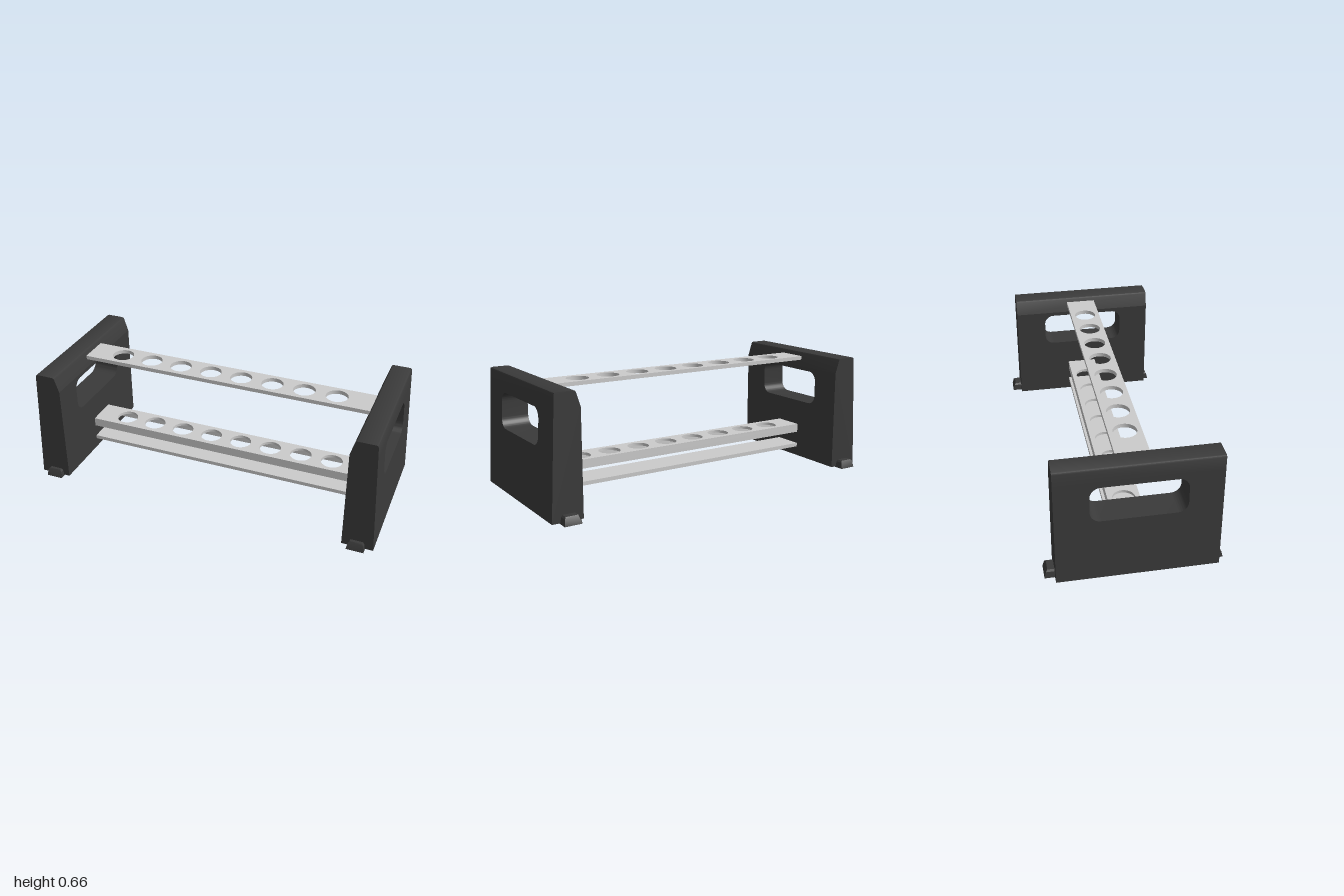
import * as THREE from 'three';
import { toCreasedNormals } from 'three/addons/utils/BufferGeometryUtils.js';

const dark = new THREE.MeshStandardMaterial({ color: 0x3a3a3a });
const grey = new THREE.MeshStandardMaterial({ color: 0xcccccc });

const Z_MIN = -0.41, Z_MAX = 0.43;   // depth of the end panels
const BASE = 0.004, SHOULDER = 0.575, TOP = 0.66;
const INNER = 0.827;
const outerX = (y) => 1 - 0.05 * y;  // leaning outer face

function polygon(points) {
  return new THREE.Shape(points.map(([x, y]) => new THREE.Vector2(x, y)));
}

function extrude(shape, depth, curveSegments = 16) {
  return new THREE.ExtrudeGeometry(shape, { depth, bevelEnabled: false, curveSegments });
}

function moveVertices(geometry, rule) {
  const p = geometry.attributes.position;
  const v = new THREE.Vector3();
  for (let i = 0; i < p.count; i++) {
    v.fromBufferAttribute(p, i);
    rule(v);
    p.setXYZ(i, v.x, v.y, v.z);
  }
  return geometry;
}

function addMesh(parent, name, geometry, material) {
  const mesh = new THREE.Mesh(toCreasedNormals(geometry, 0.5), material);
  mesh.name = name;
  parent.add(mesh);
  return mesh;
}

function roundedHole(x0, y0, x1, y1, r) {
  const h = new THREE.Path();
  h.absarc(x1 - r, y1 - r, r, 0, Math.PI / 2);
  h.absarc(x0 + r, y1 - r, r, Math.PI / 2, Math.PI);
  h.absarc(x0 + r, y0 + r, r, Math.PI, Math.PI * 1.5);
  h.absarc(x1 - r, y0 + r, r, Math.PI * 1.5, Math.PI * 2);
  h.closePath();
  return h;
}

function createEnd() {
  const end = new THREE.Group();

  // Panel with handle opening, its outer face leaning inwards
  const side = polygon([[-Z_MAX, BASE], [-Z_MIN, BASE], [-Z_MIN, SHOULDER], [-Z_MAX, SHOULDER]]);
  side.holes.push(roundedHole(-0.255, 0.356, 0.234, 0.553, 0.055));
  const panel = extrude(side, 1, 8).rotateY(Math.PI / 2);
  moveVertices(panel, (v) => { v.x = THREE.MathUtils.lerp(INNER, outerX(v.y), v.x); });
  addMesh(end, 'endPanel', panel, dark);

  // Chamfered top edge
  const cap = extrude(polygon([
    [INNER, SHOULDER], [outerX(SHOULDER), SHOULDER], [outerX(0.65), 0.65], [0.964, 0.657],
    [0.957, TOP], [0.862, TOP], [0.855, 0.657], [0.851, 0.65],
  ]), Z_MAX - Z_MIN).translate(0, 0, Z_MIN);
  addMesh(end, 'endTopEdge', cap, dark);

  // Foot rail, showing as a tapered stub at the front and back
  const foot = extrude(polygon([
    [0.86, 0], [0.956, 0], [0.95, 0.035], [0.942, 0.045], [0.874, 0.045], [0.866, 0.035],
  ]), 0.926).translate(0, 0, -0.463);
  moveVertices(foot, (v) => {
    v.z -= Math.sign(v.z) * (v.y > 0.04 ? 0.017 : v.y * 0.25);
  });
  addMesh(end, 'footRail', foot, dark);
  return end;
}

// Flat strip, optionally pierced by a row of eight holes
const BAR_X = 0.843, BAR_Z = 0.087;
function stripGeometry(bottom, thickness, pierced) {
  const shape = polygon([[-BAR_X, -BAR_Z], [BAR_X, -BAR_Z], [BAR_X, BAR_Z], [-BAR_X, BAR_Z]]);
  for (let i = 0; pierced && i < 8; i++) {
    const hole = new THREE.Path();
    hole.absarc((i - 3.5) * 0.184, 0, 0.062, 0, Math.PI * 2);
    shape.holes.push(hole);
  }
  return extrude(shape, thickness).rotateX(-Math.PI / 2).translate(0, bottom, 0);
}

export function createModel() {
  const model = new THREE.Group();
  model.name = 'tubeRack';

  const left = createEnd();
  left.name = 'leftEnd';
  const right = createEnd();
  right.name = 'rightEnd';
  right.scale.x = -1;
  model.add(left, right);

  addMesh(model, 'topStrip', stripGeometry(0.612, 0.022, true), grey);
  addMesh(model, 'bottomStrip', stripGeometry(0.06, 0.022, false), grey);

  // Middle channel, open downwards
  const channel = new THREE.Group();
  channel.name = 'middleChannel';
  addMesh(channel, 'channelWeb', stripGeometry(0.19, 0.016, true), grey);
  for (const s of [-1, 1]) {
    const flange = new THREE.BoxGeometry(BAR_X * 2, 0.035, 0.014);
    flange.translate(0, 0.1725, s * (BAR_Z - 0.007));
    addMesh(channel, s > 0 ? 'frontFlange' : 'backFlange', flange, grey);
  }
  model.add(channel);
  return model;
}
